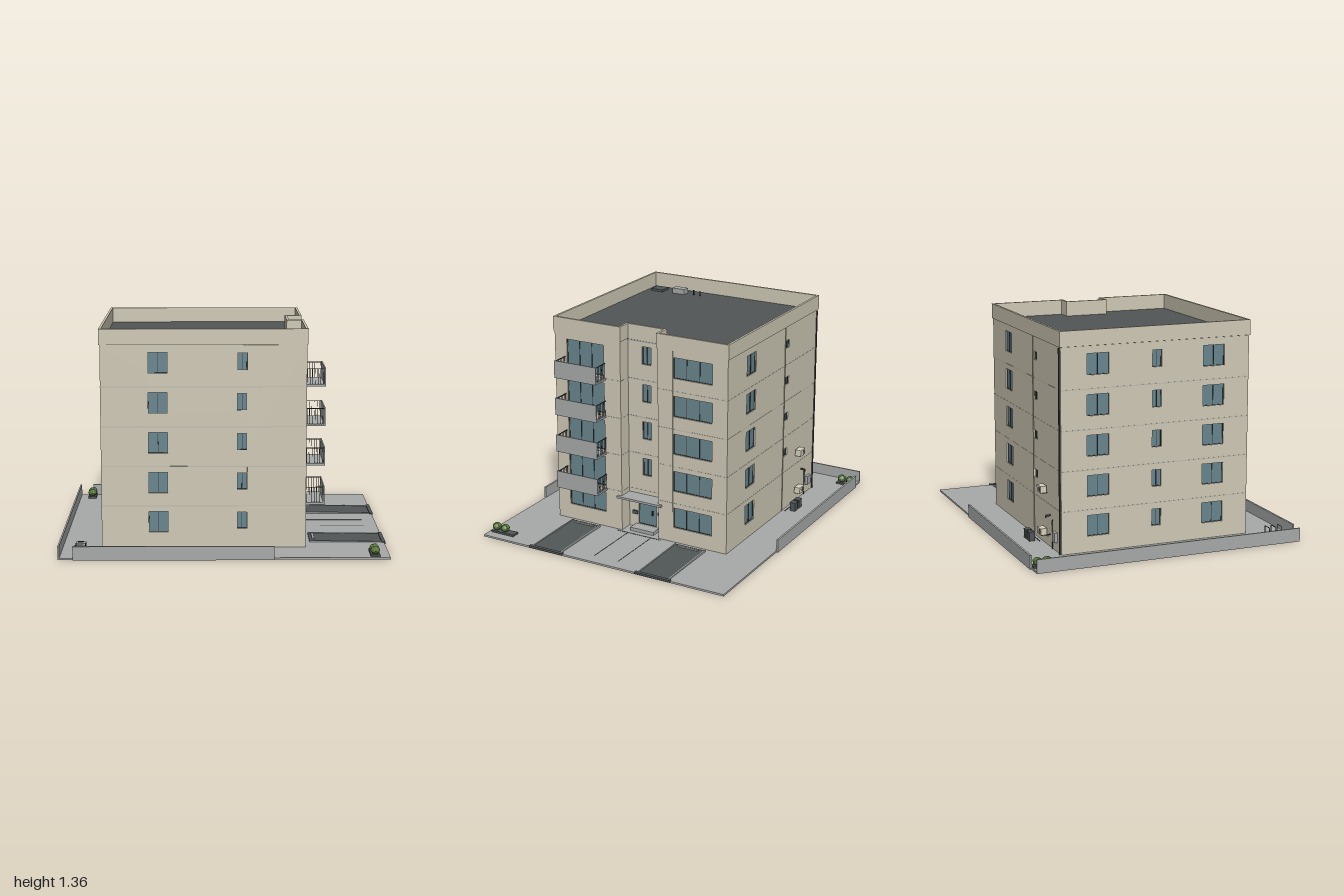
import * as THREE from 'three';

const mat = (name, color) => {
  const m = new THREE.MeshStandardMaterial({ color });
  m.name = name;
  return m;
};

export function createModel() {
  const M = {
    wall: mat('wall beige', 0xcfc9b5),
    trim: mat('seam grey', 0xbcb9ae),
    concrete: mat('concrete grey', 0xa8aaaa),
    asphalt: mat('asphalt', 0x515657),
    glass: mat('glass blue', 0x68858e),
    dark: mat('dark metal', 0x36393b),
    unit: mat('appliance cream', 0xd8d1bd),
    leaf: mat('leaf green', 0x58793a),
  };
  const root = new THREE.Group();
  root.name = 'apartmentBuilding';

  const add = (parent, name, geo, m) => {
    const mesh = new THREE.Mesh(geo, m);
    mesh.name = name;
    parent.add(mesh);
    return mesh;
  };
  // Box given by its extents on each axis
  const box = (parent, name, m, [x0, x1], [y0, y1], [z0, z1]) => {
    const mesh = add(parent, name, new THREE.BoxGeometry(x1 - x0, y1 - y0, z1 - z0), m);
    mesh.position.set((x0 + x1) / 2, (y0 + y1) / 2, (z0 + z1) / 2);
    return mesh;
  };
  const pipe = (name, points, r) => {
    const path = new THREE.CurvePath();
    const p = points.map((q) => new THREE.Vector3(...q));
    for (let i = 1; i < p.length; i++) path.add(new THREE.LineCurve3(p[i - 1], p[i]));
    return add(root, name, new THREE.TubeGeometry(path, (p.length - 1) * 4, r, 8), M.dark);
  };
  const G = 0.012, T = 0.014, STEP = 0.245, TOP = 1.265;

  // Plan outline with the entrance notch, grown by o
  const outline = (o) => [
    [-0.75 - o, -0.61 - o], [0.498 + o, -0.61 - o], [0.498 + o, -0.133 + o], [0.405 + o, -0.133 + o],
    [0.405 + o, 0.133 - o], [0.498 + o, 0.133 - o], [0.498 + o, 0.615 + o], [-0.75 - o, 0.615 + o],
  ].map(([x, y]) => new THREE.Vector2(x, y));
  const storey = (name, m, y0, y1, outer, inner) => {
    const s = new THREE.Shape(outline(outer));
    if (inner !== undefined) s.holes.push(new THREE.Path(outline(inner)));
    const g = new THREE.ExtrudeGeometry(s, { depth: y1 - y0, bevelEnabled: false });
    g.rotateX(-Math.PI / 2).translate(0, y0, 0);
    return add(root, name, g, m);
  };
  storey('wallCore', M.wall, G, TOP - 0.01, -T);
  storey('roofDeck', M.asphalt, TOP - 0.01, TOP, -0.002);
  storey('parapet', M.wall, TOP, 1.36, 0.006, -0.009);

  // Facade panel with window openings; glass and frames sit inside the reveal
  const facade = (name, rot, d, a, b, windows = [], seams = [], bandMat = M.trim) => {
    const g = new THREE.Group();
    g.name = name;
    g.rotation.y = rot;
    root.add(g);
    const rect = (C, x0, x1, y0, y1) => new C([[x0, y0], [x1, y0], [x1, y1], [x0, y1]].map((p) => new THREE.Vector2(...p)));
    const s = rect(THREE.Shape, a, b, G, TOP - 0.002);
    for (const { u, y, w, h, n } of windows) {
      const x0 = u - w / 2, x1 = u + w / 2, f = 0.003, zb = d - T;
      s.holes.push(rect(THREE.Path, x0, x1, y, y + h));
      box(g, 'windowGlass', M.glass, [x0, x1], [y, y + h], [zb, zb + 0.004]);
      for (let i = 0; i <= n; i++) {
        const x = x0 + f / 2 + ((w - f) * i) / n;
        box(g, 'windowMullion', M.dark, [x - f / 2, x + f / 2], [y, y + h], [zb, zb + 0.008]);
      }
      for (const yy of [y, y + h - f]) box(g, 'windowRail', M.dark, [x0, x1], [yy, yy + f], [zb, zb + 0.008]);
    }
    const wall = add(g, 'wallPanel', new THREE.ExtrudeGeometry(s, { depth: T, bevelEnabled: false }), M.wall);
    wall.position.z = d - T;
    for (let i = 1; i < 5; i++) {
      const y = 0.028 + STEP * i;
      box(g, 'floorSeam', bandMat, [a, b], [y - 0.0025, y + 0.0025], [d - 0.002, d + 0.001]);
    }
    for (const u of seams) box(g, 'verticalSeam', M.wall, [u - 0.0015, u + 0.0015], [G, TOP], [d - 0.002, d + 0.004]);
    return g;
  };
  const column = (u, w, y, h, n, first = 0) => {
    const list = [];
    for (let i = first; i < 5; i++) list.push({ u, w, y: y + STEP * i, h, n });
    return list;
  };
  const P = Math.PI;
  facade('frontFacade', 0, 0.61, -0.75, 0.498,
    [...column(-0.403, 0.12, 0.11, 0.13, 2), ...column(0.107, 0.06, 0.13, 0.105, 2)], [0.14]);
  facade('backFacade', P, 0.615, -0.498, 0.75,
    [...column(-0.19, 0.12, 0.11, 0.13, 2), ...column(0.31, 0.055, 0.142, 0.05, 2, 1)], [0.275]);
  facade('rightFacade', -P / 2, 0.75, -0.615, 0.61,
    [...column(-0.38, 0.14, 0.11, 0.13, 2), ...column(0, 0.06, 0.13, 0.105, 2), ...column(0.375, 0.14, 0.11, 0.13, 2)]);
  facade('balconyFacade', P / 2, 0.498, -0.61, -0.133,
    [{ u: -0.387, w: 0.27, y: 0.112, h: 0.132, n: 3 }, ...column(-0.387, 0.27, 0.045, 0.199, 3, 1)]);
  facade('windowFacade', P / 2, 0.498, 0.133, 0.615, column(0.376, 0.27, 0.11, 0.133, 3), [0.238]);
  const entrance = facade('entranceFacade', P / 2, 0.405, -0.133, 0.133,
    [{ u: 0, w: 0.13, y: 0.035, h: 0.195, n: 1 }, ...column(0, 0.062, 0.13, 0.115, 2, 1)], [], M.concrete);
  box(entrance, 'topBand', M.concrete, [-0.133, 0.133], [1.252, 1.26], [0.403, 0.407]);
  facade('notchReturnBack', 0, -0.133, 0.405, 0.498);
  facade('notchReturnFront', P, -0.133, -0.498, -0.405);

  // Entrance
  box(root, 'entranceCanopy', M.concrete, [0.4, 0.518], [0.232, 0.246], [-0.16, 0.16]);
  box(root, 'entranceStep', M.concrete, [0.4, 0.48], [G, 0.034], [-0.085, 0.085]);
  box(root, 'doorHandle', M.dark, [0.4, 0.412], [0.11, 0.14], [-0.04, -0.034]);
  box(root, 'mailbox', M.asphalt, [0.404, 0.415], [0.1, 0.124], [0.07, 0.105]);
  box(root, 'intercom', M.dark, [0.404, 0.411], [0.12, 0.138], [-0.092, -0.076]);

  // Balconies
  for (let i = 1; i < 5; i++) {
    const y = 0.02 + STEP * i, b = new THREE.Group();
    b.name = 'balcony';
    root.add(b);
    box(b, 'balconySlab', M.concrete, [0.498, 0.612], [y, y + 0.012], [0.24, 0.54]);
    box(b, 'balconyFrontPanel', M.concrete, [0.608, 0.616], [y, y + 0.112], [0.238, 0.542]);
    for (const z of [0.244, 0.536]) {
      box(b, 'balconyHandrail', M.dark, [0.498, 0.61], [y + 0.105, y + 0.109], [z - 0.003, z + 0.003]);
      for (let k = 0; k < 7; k++) {
        const x = 0.505 + k * 0.016;
        box(b, 'balconyBaluster', M.dark, [x - 0.0012, x + 0.0012], [y + 0.012, y + 0.105], [z - 0.0012, z + 0.0012]);
      }
    }
  }

  // Site slab and boundary walls
  box(root, 'paving', M.concrete, [-1, 0.993], [0, G], [-0.86, 0.857]);
  box(root, 'frontBoundaryWall', M.concrete, [-0.91, 0.297], [0, 0.085], [0.853, 0.866]);
  box(root, 'backBoundaryWall', M.concrete, [-0.91, 0.297], [0, 0.085], [-0.87, -0.858]);
  box(root, 'sideBoundaryWall', M.concrete, [-1, -0.99], [0, 0.085], [-0.86, 0.857]);

  // Sloping parking bays with kerbs, wheel stops and kerb ramps
  const wedge = (name, m, x0, x1, y0, y1, z0, z1) => {
    const s = new THREE.Shape([[x0, 0.008], [x1, 0.008], [x1, y1], [x0, y0]].map((p) => new THREE.Vector2(...p)));
    add(root, name, new THREE.ExtrudeGeometry(s, { depth: z1 - z0, bevelEnabled: false }), m).position.z = z0;
  };
  for (const [z0, z1] of [[-0.483, -0.275], [0.283, 0.488]]) {
    wedge('parkingBay', M.asphalt, 0.53, 0.993, 0.02, 0.0135, z0, z1);
    for (const z of [z0, z1]) wedge('parkingKerb', M.concrete, 0.53, 0.98, 0.023, 0.0165, z - 0.004, z + 0.004);
    const c = (z0 + z1) / 2;
    box(root, 'wheelStop', M.concrete, [0.548, 0.562], [0.018, 0.028], [c - 0.07, c + 0.07]);
    box(root, 'kerbRamp', M.asphalt, [0.978, 1], [0.005, 0.018], [c - 0.122, c + 0.122]);
  }
  for (const z of [-0.09, 0.08]) box(root, 'pathEdge', M.asphalt, [0.52, 0.91], [G, G + 0.002], [z - 0.0015, z + 0.0015]);
  box(root, 'pathThreshold', M.asphalt, [0.516, 0.519], [G, G + 0.002], [-0.16, 0.16]);

  // Planters with lumpy faceted shrubs
  for (const [x, z0, z1, bushes] of [[0.905, 0.675, 0.842, [0.752, 0.815]], [-0.91, -0.855, -0.735, [-0.825, -0.765]]]) {
    box(root, 'planter', M.asphalt, [x - 0.028, x + 0.028], [G, 0.024], [z0, z1]);
    for (const z of bushes) {
      const geo = new THREE.IcosahedronGeometry(0.028, 1);
      const p = geo.attributes.position;
      for (let i = 0; i < p.count; i++) {
        const v = new THREE.Vector3().fromBufferAttribute(p, i);
        v.multiplyScalar(1 + 0.1 * Math.sin(v.x * 190 + 1) * Math.cos(v.z * 170 + v.y * 90));
        p.setXYZ(i, v.x, v.y * 0.9, v.z);
      }
      geo.computeVertexNormals();
      add(root, 'shrub', geo, M.leaf).position.set(x, 0.046, z);
    }
  }

  // Bicycle stands
  for (const z of [0.7, 0.742, 0.785]) {
    pipe('bicycleStand', [[-0.9, G, z], [-0.9, 0.075, z], [-0.84, 0.075, z], [-0.84, G, z]], 0.0025);
  }

  // Roof equipment
  box(root, 'roofUnit', M.concrete, [-0.685, -0.632], [TOP, 1.3], [0.32, 0.41]);
  box(root, 'roofHatch', M.asphalt, [-0.7, -0.617], [TOP, 1.28], [0.48, 0.565]);
  for (const z of [0.21, 0.258]) pipe('roofVent', [[-0.657, TOP, z], [-0.657, 1.3, z]], 0.005);

  // Services on the back wall
  for (const [x, y] of [[-0.485, 0.34], [-0.485, 0.075]]) {
    box(root, 'airConditioner', M.unit, [x - 0.033, x + 0.033], [y, y + 0.042], [-0.662, -0.622]);
    const fan = add(root, 'airConditionerFan', new THREE.CylinderGeometry(0.013, 0.013, 0.003, 20), M.asphalt);
    fan.rotation.x = P / 2;
    fan.position.set(x - 0.01, y + 0.021, -0.6625);
    for (const dx of [-0.022, 0.022]) box(root, 'unitBracket', M.dark, [x + dx - 0.002, x + dx + 0.002], [y - 0.005, y], [-0.658, -0.614]);
  }
  pipe('downpipe', [[-0.735, G, -0.62], [-0.735, 1.26, -0.62]], 0.005);
  pipe('gasPipe', [[-0.605, G, -0.62], [-0.605, 0.2, -0.62], [-0.605, 0.2, -0.61]], 0.003);
  box(root, 'meterBox', M.concrete, [-0.68, -0.635], [0.07, 0.13], [-0.634, -0.613]);
  pipe('wallLamp', [[-0.56, 0.21, -0.612], [-0.56, 0.21, -0.645], [-0.56, 0.198, -0.645]], 0.006);
  pipe('waterTap', [[-0.56, 0.09, -0.612], [-0.56, 0.09, -0.632], [-0.56, 0.078, -0.632]], 0.004);

  // Rubbish bins beside a low edging strip
  box(root, 'binEdging', M.asphalt, [-0.43, -0.28], [G, 0.016], [-0.639, -0.635]);
  for (const x of [-0.387, -0.327]) {
    box(root, 'bin', M.asphalt, [x - 0.021, x + 0.021], [G, 0.064], [-0.698, -0.662]);
    box(root, 'binLid', M.asphalt, [x - 0.023, x + 0.023], [0.064, 0.07], [-0.7, -0.66]);
  }
  return root;
}
